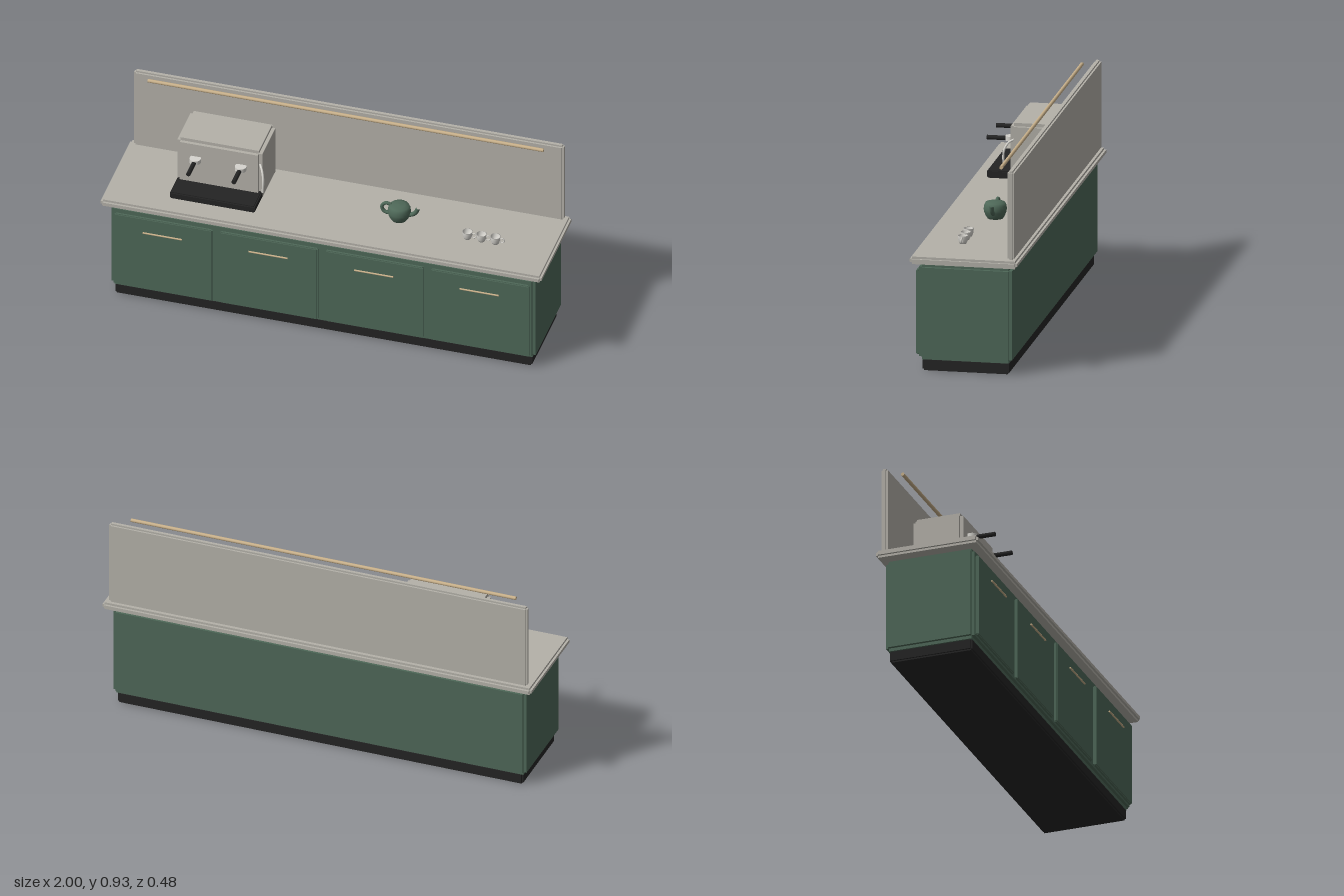
import * as THREE from 'three';
import { mergeGeometries } from 'three/addons/utils/BufferGeometryUtils.js';

const mat = (name, color, side = THREE.FrontSide) => {
  const m = new THREE.MeshStandardMaterial({ color, side });
  m.name = name;
  return m;
};

export function createModel() {
  const green = mat('sage green', 0x4e6858);
  const stone = mat('pale stone', 0xb4b1a9);
  const dark = mat('charcoal', 0x242424);
  const brass = mat('light brass', 0xc8b08a);
  const ceramic = mat('off-white', 0xd6d4ce, THREE.DoubleSide);

  const root = new THREE.Group();
  root.name = 'coffeeCounter';

  const add = (parent, name, geometry, material, x = 0, y = 0, z = 0) => {
    const mesh = new THREE.Mesh(geometry, material);
    mesh.name = name;
    mesh.position.set(x, y, z);
    parent.add(mesh);
    return mesh;
  };
  const group = (name, x = 0, y = 0, z = 0) => {
    const g = new THREE.Group();
    g.name = name;
    g.position.set(x, y, z);
    root.add(g);
    return g;
  };
  // Block with stepped edges: three crossed boxes, each full size along one axis
  const block = (w, h, d, r) => mergeGeometries([
    new THREE.BoxGeometry(w, h - 2 * r, d - 2 * r),
    new THREE.BoxGeometry(w - 2 * r, h, d - 2 * r),
    new THREE.BoxGeometry(w - 2 * r, h - 2 * r, d),
  ]);
  const rod = (r, length, axis, sides = 16) => {
    const g = new THREE.CylinderGeometry(r, r, length, sides);
    return axis === 'x' ? g.rotateZ(Math.PI / 2) : g.rotateX(Math.PI / 2);
  };
  const tube = (points, r) => new THREE.TubeGeometry(
    new THREE.CatmullRomCurve3(points.map((p) => new THREE.Vector3(...p))), 20, r, 10);
  const lathe = (points, sides = 24) =>
    new THREE.LatheGeometry(points.map((p) => new THREE.Vector2(...p)), sides);

  // Base, worktop and back panel
  add(root, 'plinth', block(1.89, 0.056, 0.384, 0.007), dark, 0, 0.028, 0);
  add(root, 'cabinet', block(1.925, 0.43, 0.412, 0.014), green, 0, 0.266, 0);
  add(root, 'worktop', block(2, 0.034, 0.476, 0.01), stone, 0, 0.505, 0.001);
  add(root, 'backPanel', block(1.95, 0.4, 0.03, 0.008), stone, 0, 0.721, -0.205);
  add(root, 'rail', rod(0.008, 1.795, 'x'), brass, 0, 0.917, -0.148);

  // Doors with bar handles
  for (let i = 0; i < 4; i++) {
    const x = (i - 1.5) * 0.479;
    add(root, 'door', block(0.443, 0.38, 0.016, 0.004), green, x, 0.26, 0.214);
    add(root, 'doorHandle', rod(0.004, 0.177, 'x', 10), brass, x, 0.382, 0.233);
  }

  // Coffee machine
  const machine = group('coffeeMachine', -0.515, 0, 0);
  add(machine, 'machineBody', block(0.385, 0.264, 0.231, 0.015), stone, 0, 0.656, -0.059);
  add(machine, 'dripTray', block(0.385, 0.034, 0.125, 0.005), dark, 0, 0.555, 0.098);
  for (const x of [-0.103, 0.103]) {
    add(machine, 'brewHead', new THREE.CylinderGeometry(0.025, 0.025, 0.02, 20), ceramic, x, 0.7, 0.07);
    add(machine, 'brewHandle', rod(0.01, 0.085, 'z'), dark, x, 0.698, 0.134);
  }
  add(machine, 'steamWand', tube([
    [0.183, 0.715, 0.04], [0.197, 0.703, 0.062], [0.208, 0.67, 0.08], [0.207, 0.6, 0.083],
  ], 0.005), ceramic);

  // Teapot
  const pot = group('teapot', 0.287, 0.525, 0);
  add(pot, 'potBody', lathe([
    [0, 0], [0.034, 0], [0.042, 0.012], [0.049, 0.03], [0.051, 0.042],
    [0.049, 0.058], [0.043, 0.071], [0.025, 0.076], [0, 0.078],
  ]), green);
  add(pot, 'spout', tube([
    [0.035, 0.028, 0], [0.06, 0.036, 0], [0.076, 0.052, 0], [0.086, 0.075, 0],
  ], 0.01), green);
  add(pot, 'potHandle', new THREE.TorusGeometry(0.025, 0.008, 10, 24), green, -0.054, 0.048, 0);

  // Row of cups
  for (let i = 0; i < 3; i++) {
    const cup = group('cup', 0.612 + i * 0.0635, 0.525, 0.053);
    add(cup, 'cupBowl', lathe([
      [0, 0], [0.014, 0], [0.02, 0.012], [0.023, 0.036], [0.02, 0.036], [0.017, 0.012], [0, 0.005],
    ], 20), ceramic);
    add(cup, 'cupHandle', new THREE.TorusGeometry(0.011, 0.003, 8, 16), ceramic, 0.029, 0.02, 0);
  }

  return root;
}
